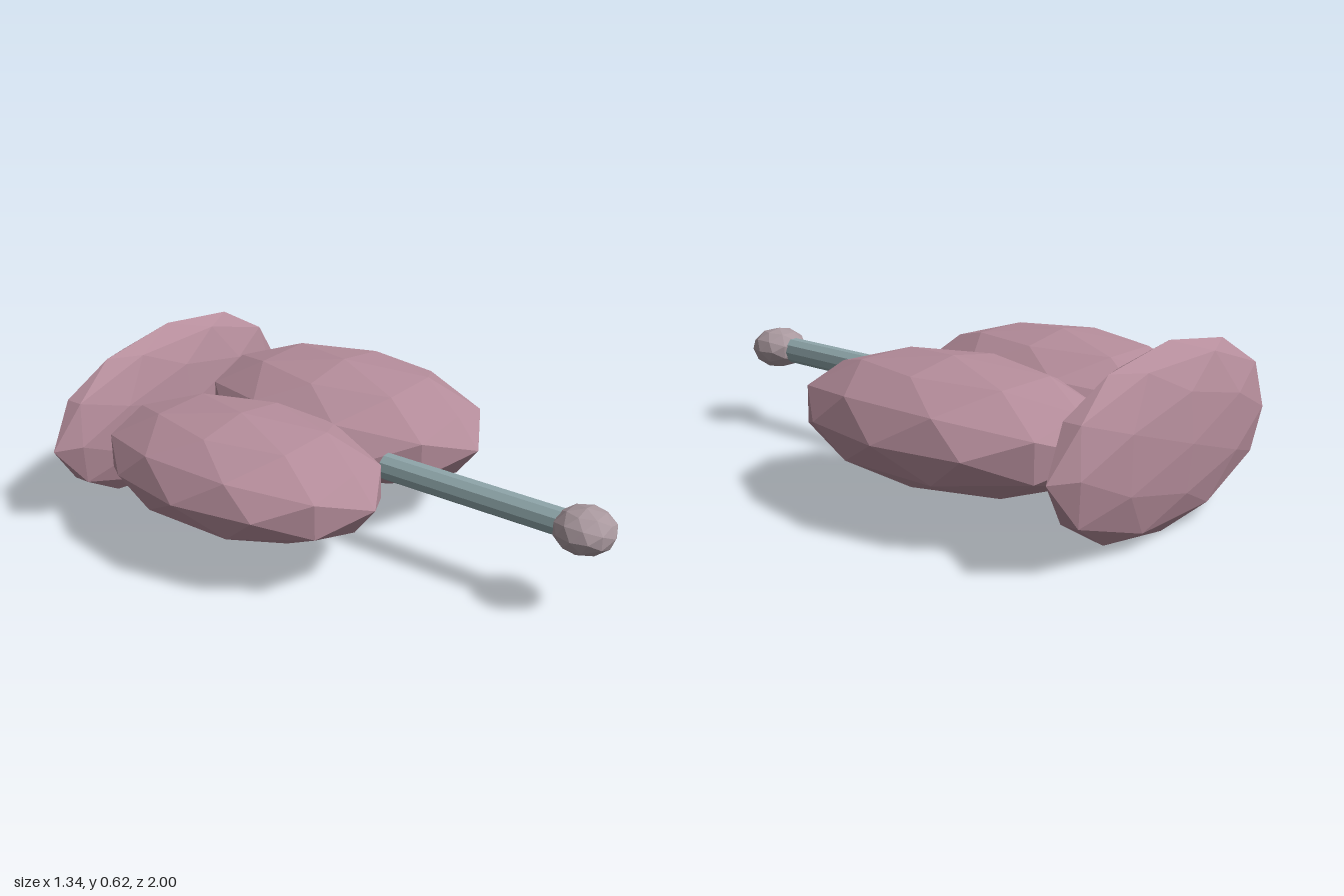
import * as THREE from 'three';

export function createModel() {
  const model = new THREE.Group();
  const material = (name, color) => {
    const m = new THREE.MeshStandardMaterial({ color, flatShading: true });
    m.name = name;
    return m;
  };
  const pink = material('dustyPink', 0xb58d9b);
  const greyPink = material('greyPink', 0xa9989e);
  const steel = material('blueGrey', 0x8fa6aa);

  // Faceted ellipsoid with given centre and radii
  const blob = (name, mat, centre, radii) => {
    const geometry = new THREE.IcosahedronGeometry(1, 1).scale(...radii);
    const mesh = new THREE.Mesh(geometry, mat);
    mesh.name = name;
    mesh.position.set(...centre);
    model.add(mesh);
  };

  // Two flattened lobes, the left slightly larger
  blob('leftLobe', pink, [0.28, 0.313, -0.28], [0.385, 0.212, 0.595]);
  blob('rightLobe', pink, [-0.305, 0.313, -0.28], [0.365, 0.202, 0.565]);

  // Upright disc across the back
  blob('backDisc', pink, [-0.0125, 0.31, -0.897], [0.607, 0.31, 0.103]);

  // Round tip at the front
  blob('frontTip', greyPink, [-0.0125, 0.313, 0.892], [0.105, 0.078, 0.107]);

  // Straight stem joining the tip to the lobes
  const stemStart = 0.12, stemEnd = 0.87;
  const stemGeometry = new THREE.CylinderGeometry(0.048, 0.048, stemEnd - stemStart, 10)
    .rotateY(Math.PI / 2)
    .rotateX(Math.PI / 2);
  const stem = new THREE.Mesh(stemGeometry, steel);
  stem.name = 'stem';
  stem.position.set(-0.0125, 0.313, (stemStart + stemEnd) / 2);
  model.add(stem);

  return model;
}
